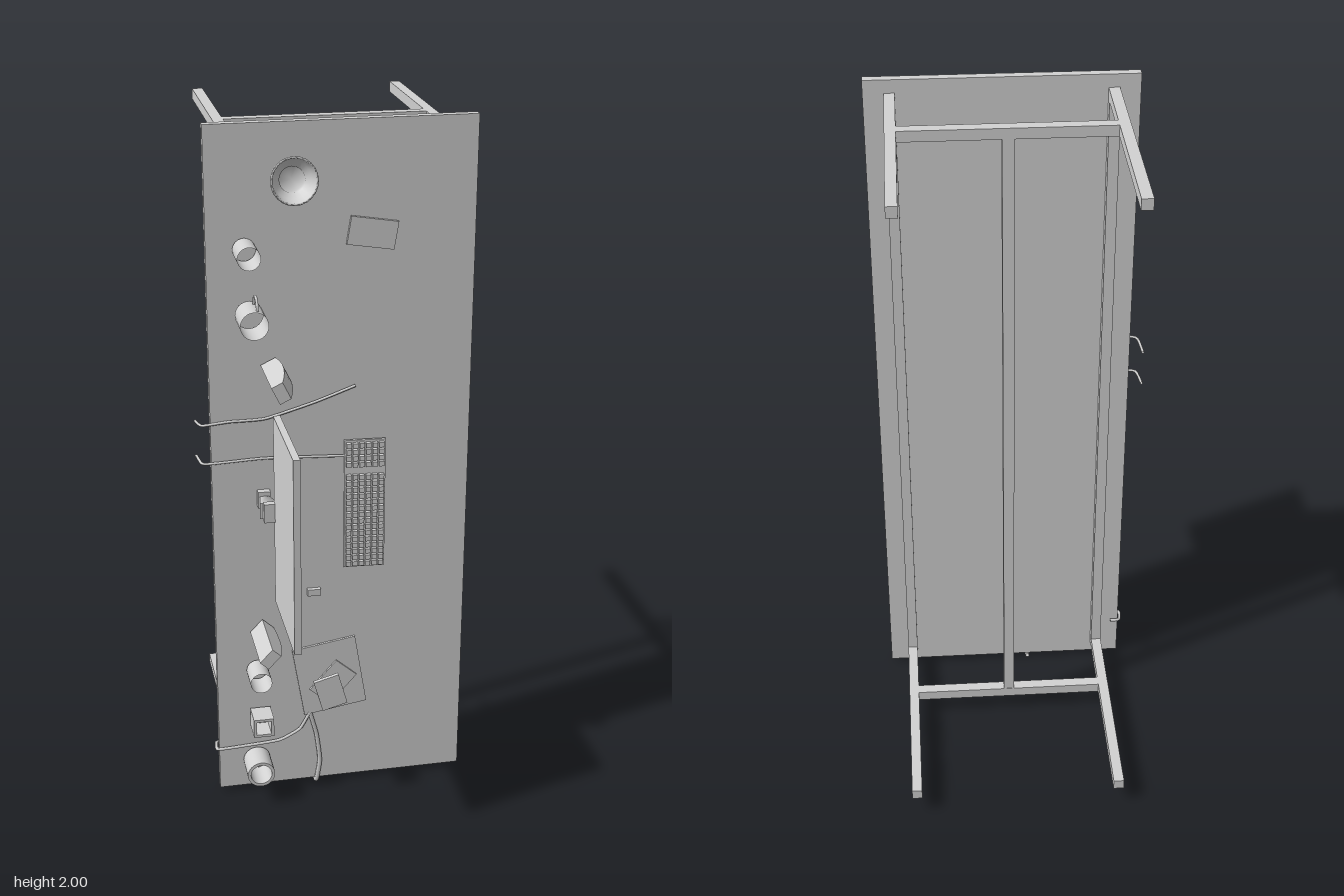
import * as THREE from 'three';

export function createModel() {
  const model = new THREE.Group();
  const grey = new THREE.MeshStandardMaterial({ color: 0xd2d2d2, side: THREE.DoubleSide });
  grey.name = 'plain light grey';

  function add(name, geometry, parent = model) {
    const mesh = new THREE.Mesh(geometry, grey);
    mesh.name = name;
    parent.add(mesh);
    return mesh;
  }
  // Box given by its extents on each axis
  function slab(name, x0, x1, y0, y1, z0, z1, parent) {
    const m = add(name, new THREE.BoxGeometry(x1 - x0, y1 - y0, z1 - z0), parent);
    m.position.set((x0 + x1) / 2, (y0 + y1) / 2, (z0 + z1) / 2);
    return m;
  }
  // Box turned in the plane of the table top
  function tile(name, x, y, w, h, z0, z1, turn) {
    const m = slab(name, x - w / 2, x + w / 2, y - h / 2, y + h / 2, z0, z1);
    m.rotation.z = turn;
  }

  // Table lying on its side: top faces +z, legs run to -z
  slab('tableTop', -0.35, 0.378, 0.015, 1.998, 0.111, 0.136);
  const legX = [[-0.294, -0.264], [0.294, 0.323]];
  const legY = [[0.055, 0.085], [1.931, 1.961]];
  for (const [x0, x1] of legX) {
    for (const [y0, y1] of legY) slab('leg', x0, x1, y0, y1, -0.54, 0.111);
    slab('topRail', x0, x1, 0.085, 1.931, 0.083, 0.111);
  }
  for (const [y0, y1] of legY) slab('crossBar', -0.264, 0.294, y0, y1, -0.129, -0.097);
  slab('longStretcher', -0.001, 0.03, 0.085, 1.931, -0.128, -0.097);

  // Monitor: frame, recessed screen, stand
  const monitor = new THREE.Group();
  monitor.name = 'monitor';
  model.add(monitor);
  slab('screen', -0.192, -0.186, 0.69, 1.217, 0.245, 0.523, monitor);
  for (const [z0, z1] of [[0.23, 0.245], [0.523, 0.538]]) slab('screenFrame', -0.192, -0.173, 0.675, 1.232, z0, z1, monitor);
  for (const [y0, y1] of [[0.675, 0.69], [1.217, 1.232]]) slab('screenFrame', -0.192, -0.173, y0, y1, 0.245, 0.523, monitor);
  slab('standMount', -0.222, -0.19, 0.925, 0.98, 0.225, 0.245, monitor);
  const neck = add('standNeck', new THREE.CylinderGeometry(0.033, 0.018, 0.07, 4, 1).toNonIndexed().rotateY(Math.PI / 4).rotateX(Math.PI / 2), monitor);
  neck.position.set(-0.207, 0.953, 0.19);
  slab('standBase', -0.225, -0.19, 0.93, 0.978, 0.137, 0.157, monitor);

  // Keyboard: sloping plate with a grid of keys
  const keyboard = new THREE.Group();
  keyboard.name = 'keyboard';
  keyboard.position.set(0.078, 0.915, 0.147);
  keyboard.rotation.y = -0.06;
  model.add(keyboard);
  slab('keyboardPlate', -0.058, 0.058, -0.195, 0.195, -0.004, 0.004, keyboard);
  for (let col = 0; col < 6; col++) {
    for (let row = 0; row < 20; row++) {
      if (row === 15) continue;
      const x = -0.046 + col * 0.0184, y = -0.181 + row * 0.0191;
      slab('key', x - 0.007, x + 0.007, y - 0.007, y + 0.007, 0.004, 0.016, keyboard);
    }
  }

  // Open-ended round shapes turned about the z axis
  function turned(name, x, y, z, profile) {
    const points = profile.map(p => new THREE.Vector2(...p));
    const m = add(name, new THREE.LatheGeometry(points, 24).rotateX(Math.PI / 2));
    m.position.set(x, y, z);
    return m;
  }
  turned('upperCup', -0.25, 1.67, 0.148, [[0.031, 0], [0.031, 0.092]]);
  turned('mug', -0.24, 1.492, 0.15, [[0.038, 0], [0.038, 0.1]]);
  turned('middleCup', -0.235, 0.413, 0.148, [[0.031, 0], [0.031, 0.082]]);
  turned('lowerCup', -0.24, 0.108, 0.145, [[0.04, 0], [0.04, 0.087]]);
  turned('lowerCupRim', -0.24, 0.108, 0.145, [[0.04, 0.087], [0.031, 0.087]]);
  turned('lowerCupLining', -0.24, 0.108, 0.145, [[0.031, 0.087], [0.031, 0]]);
  const handle = add('mugHandle', new THREE.TorusGeometry(0.03, 0.004, 6, 16, Math.PI).rotateY(Math.PI / 2));
  handle.position.set(-0.23, 1.528, 0.203);

  // Slightly tilted bowl with a stepped floor
  const bowl = turned('bowl', -0.128, 1.856, 0.162,
    [[0, 0], [0.045, 0], [0.057, 0.03], [0.063, 0.062], [0.057, 0.062], [0.05, 0.03], [0.034, 0.028], [0.032, 0.01], [0, 0.01]]);
  bowl.rotation.x = -0.12;

  // Open square pot
  const pot = new THREE.Group();
  pot.name = 'squarePot';
  model.add(pot);
  for (const [x0, x1] of [[-0.257, -0.249], [-0.206, -0.198]]) slab('potWall', x0, x1, 0.225, 0.283, 0.145, 0.215, pot);
  for (const [y0, y1] of [[0.225, 0.233], [0.275, 0.283]]) slab('potWall', -0.249, -0.206, y0, y1, 0.145, 0.215, pot);
  slab('potFloor', -0.249, -0.206, 0.233, 0.275, 0.145, 0.15, pot);

  // Speakers with a bowed front, turned towards the middle
  const side = new THREE.Shape();
  side.moveTo(-0.027, 0);
  side.lineTo(0.018, 0);
  side.quadraticCurveTo(0.04, 0.09, 0.006, 0.18);
  side.lineTo(-0.027, 0.18);
  side.closePath();
  for (const [x, y, turn] of [[-0.175, 1.335, 0.45], [-0.215, 0.537, -0.75]]) {
    const g = new THREE.ExtrudeGeometry(side, { depth: 0.052, bevelEnabled: false, curveSegments: 8 });
    g.translate(0, 0, -0.026).rotateX(Math.PI / 2);
    const speaker = add('speaker', g);
    speaker.position.set(x, y, 0.145);
    speaker.rotation.z = turn;
  }

  // Flat things on the table
  tile('notepad', 0.094, 1.697, 0.13, 0.077, 0.14, 0.15, -0.16);
  tile('paperSheet', -0.021, 0.367, 0.188, 0.222, 0.14, 0.147, 0.16);
  tile('card', -0.012, 0.35, 0.12, 0.08, 0.15, 0.156, 0.85);
  tile('phone', -0.026, 0.335, 0.076, 0.1, 0.178, 0.19, 0.27);
  tile('eraser', -0.066, 0.647, 0.038, 0.02, 0.137, 0.15, 0);

  // Cables hanging over the table edges
  const cables = [
    [0.004, [[-0.383, 1.17, 0.07], [-0.372, 1.18, 0.136], [-0.3, 1.188, 0.141], [-0.2, 1.19, 0.141], [-0.06, 1.23, 0.143], [0.05, 1.27, 0.145]]],
    [0.004, [[-0.383, 1.066, 0.07], [-0.372, 1.067, 0.136], [-0.3, 1.07, 0.141], [-0.2, 1.073, 0.141], [0.02, 1.065, 0.146]]],
    [0.005, [[-0.325, 0.15, 0.097], [-0.353, 0.15, 0.098], [-0.354, 0.15, 0.139], [-0.26, 0.155, 0.141], [-0.17, 0.163, 0.142], [-0.11, 0.195, 0.143], [-0.08, 0.25, 0.146]]],
    [0.007, [[-0.08, 0.25, 0.146], [-0.06, 0.17, 0.142], [-0.05, 0.08, 0.142], [-0.06, 0.01, 0.14], [-0.06, 0.008, 0.105]]],
  ];
  for (const [r, pts] of cables) {
    const curve = new THREE.CatmullRomCurve3(pts.map(p => new THREE.Vector3(...p)), false, 'catmullrom', 0.25);
    add('cable', new THREE.TubeGeometry(curve, 50, r, 6));
  }
  return model;
}
